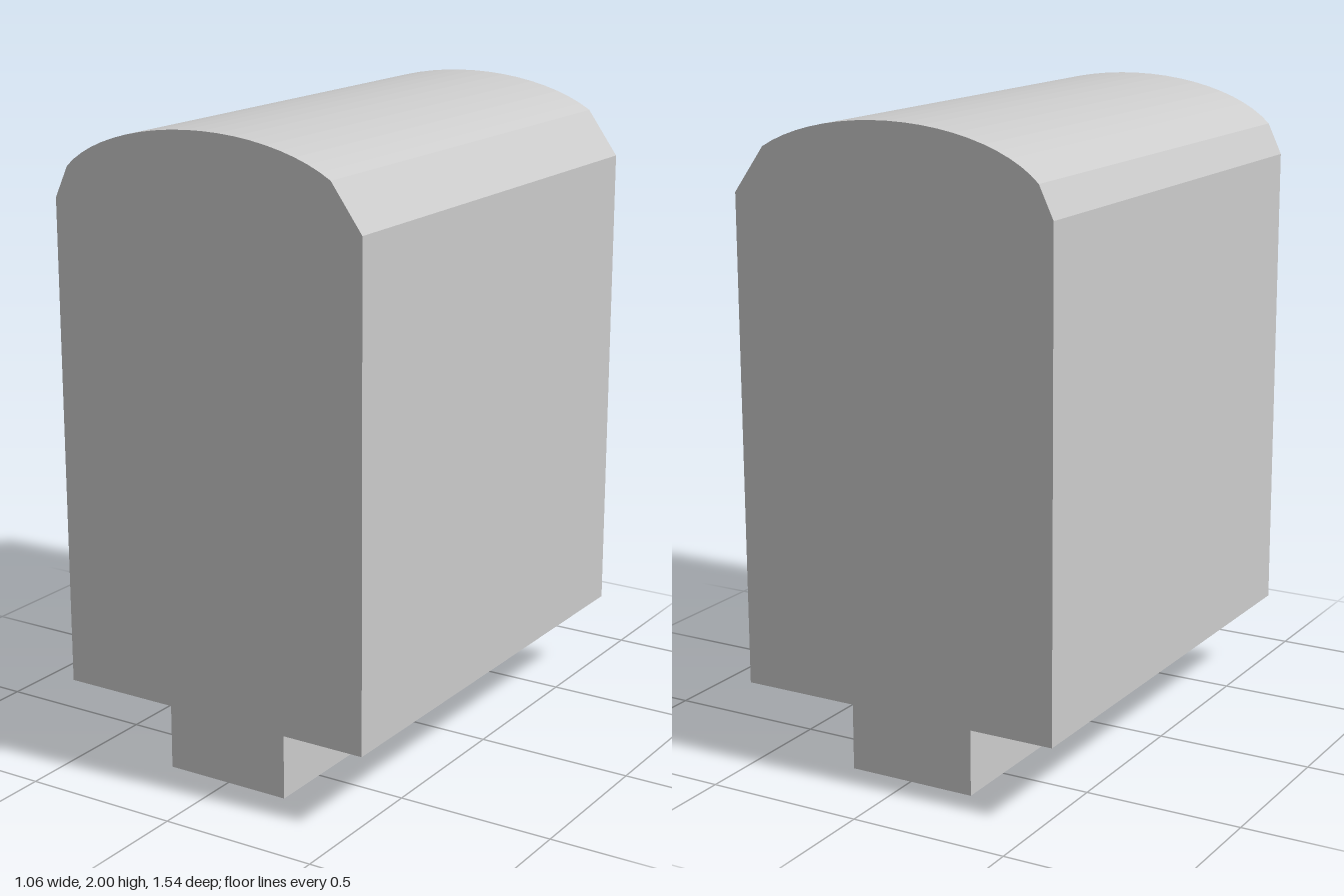
import * as THREE from 'three';

export function createModel() {
  const model = new THREE.Group();
  const material = new THREE.MeshStandardMaterial({ color: 0xcccccc, flatShading: true });

  // Body: upright slab with an elliptical crown, chamfered more on the left
  const halfWidth = 0.528, bottom = 0.245, shoulder = 1.762, crown = 2, depth = 1.54;
  const profile = new THREE.Shape();
  profile.moveTo(-halfWidth, bottom);
  profile.lineTo(halfWidth, bottom);
  profile.lineTo(halfWidth, shoulder);
  for (let degrees = 36; degrees <= 156; degrees += 6) {
    const a = THREE.MathUtils.degToRad(degrees);
    profile.lineTo(halfWidth * Math.cos(a), shoulder + (crown - shoulder) * Math.sin(a));
  }
  profile.lineTo(-halfWidth, shoulder);
  profile.closePath();

  const bodyGeometry = new THREE.ExtrudeGeometry(profile, { depth, bevelEnabled: false });
  bodyGeometry.translate(0, 0, -depth / 2);
  const body = new THREE.Mesh(bodyGeometry, material);
  body.name = 'body';
  model.add(body);

  // Foot: narrow plinth under the body
  const foot = new THREE.Mesh(new THREE.BoxGeometry(0.416, bottom, 1.384), material);
  foot.name = 'foot';
  foot.position.set(-0.003, bottom / 2, 0);
  model.add(foot);

  return model;
}
